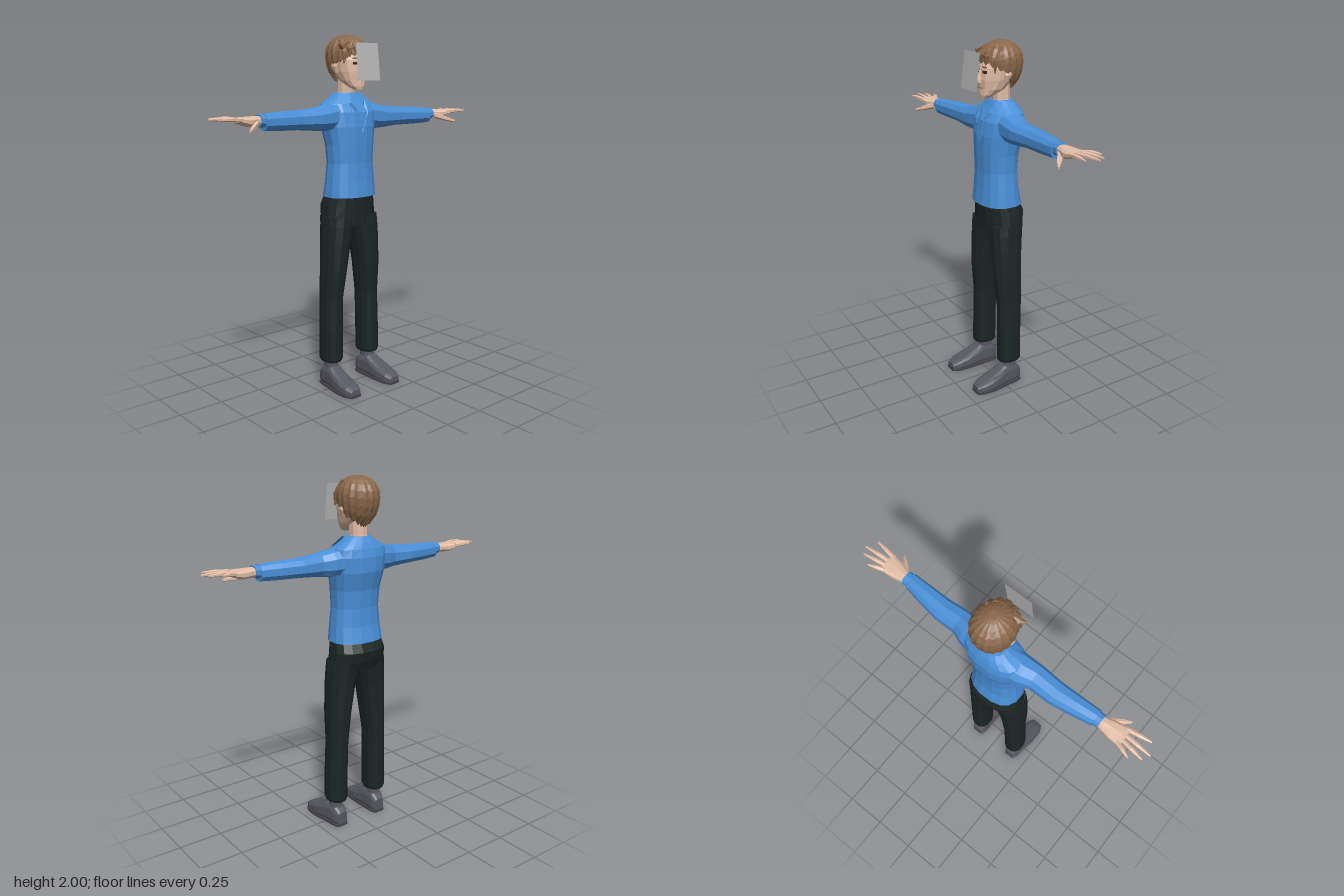
import * as THREE from 'three';

const mat = (name, color, side = THREE.FrontSide) => {
  const m = new THREE.MeshStandardMaterial({ color, side });
  m.name = name;
  return m;
};

// Flat-shaded skin over rings of points, closed at both ends
function skinRings(rings) {
  const pos = [];
  const tri = (a, b, c) => pos.push(...a, ...b, ...c);
  const n = rings[0].length;
  for (let i = 0; i < rings.length - 1; i++) {
    for (let j = 0; j < n; j++) {
      const k = (j + 1) % n, lo = rings[i], hi = rings[i + 1];
      tri(lo[j], hi[j], lo[k]);
      tri(lo[k], hi[j], hi[k]);
    }
  }
  const mid = (r) => [0, 1, 2].map((d) => r.reduce((s, p) => s + p[d], 0) / n);
  const first = rings[0], last = rings[rings.length - 1];
  for (let j = 0; j < n; j++) {
    const k = (j + 1) % n;
    tri(mid(first), first[j], first[k]);
    tri(mid(last), last[k], last[j]);
  }
  return fromPoints(pos);
}

function fromPoints(pos) {
  const g = new THREE.BufferGeometry();
  g.setAttribute('position', new THREE.Float32BufferAttribute(pos, 3));
  g.computeVertexNormals();
  return g;
}

// Sections are [position along axis, centre 1, centre 2, radius 1, radius 2];
// the pair is (x, z) on axis y, (z, y) on axis x and (y, x) on axis z
function loft(axis, sections, seg = 12, power = 2.4) {
  const round = (v) => Math.sign(v) * Math.abs(v) ** (2 / power);
  return skinRings(sections.map(([a, c1, c2, r1, r2]) =>
    Array.from({ length: seg }, (_, j) => {
      const t = ((j + 0.5) / seg) * Math.PI * 2;
      const u = c1 + r1 * round(Math.cos(t)), v = c2 + r2 * round(Math.sin(t));
      return axis === 'y' ? [u, a, v] : axis === 'x' ? [a, v, u] : [v, u, a];
    })));
}

// Reflected copy with the corner order turned back outward
function mirrored(geo) {
  const p = (geo.index ? geo.toNonIndexed() : geo).attributes.position, pos = [];
  for (let i = 0; i < p.count; i += 3) {
    for (const k of [i, i + 2, i + 1]) pos.push(-p.getX(k), p.getY(k), p.getZ(k));
  }
  return fromPoints(pos);
}

export function createModel() {
  const model = new THREE.Group();
  const shirt = mat('shirt blue', 0x4a90d9, THREE.DoubleSide);
  const trouser = mat('trouser black green', 0x1b2625);
  const skin = mat('skin', 0xe3bea7);
  const hair = mat('hair brown', 0x8a674a, THREE.DoubleSide);
  const shoe = mat('shoe grey', 0x585862);
  const sole = mat('sole dark grey', 0x42424a);
  const panel = mat('panel grey', 0xb8b8b8, THREE.DoubleSide);
  const dark = mat('eye dark brown', 0x3a281e);
  const lip = mat('lip', 0xb98470);

  const add = (name, geo, m) => {
    const mesh = new THREE.Mesh(geo, m);
    mesh.name = name;
    model.add(mesh);
    return mesh;
  };
  const pair = (name, geo, m) => {
    add(name + 'Left', geo, m);
    add(name + 'Right', mirrored(geo), m);
  };

  // Shirt body
  add('shirtBody', loft('y', [
    [1.11, 0, -0.04, 0.155, 0.12], [1.2, 0, -0.035, 0.147, 0.106],
    [1.3, 0, -0.035, 0.137, 0.101], [1.4, 0, -0.037, 0.143, 0.106],
    [1.5, 0, -0.05, 0.16, 0.118], [1.58, 0, -0.056, 0.17, 0.111],
    [1.625, 0, -0.065, 0.16, 0.09], [1.655, 0, -0.068, 0.11, 0.074],
    [1.685, 0, -0.066, 0.068, 0.056],
  ], 16), shirt);

  // Collar flaps and lapels
  pair('collarFlap', fromPoints([
    0.045, 1.675, 0, 0.05, 1.63, 0.04, 0.12, 1.625, 0.022,
    0.045, 1.675, 0, 0.12, 1.625, 0.022, 0.075, 1.685, -0.03,
  ]), shirt);
  pair('lapel', fromPoints([
    0.06, 1.655, 0.018, 0.025, 1.6, 0.056, 0, 1.46, 0.073,
    0.06, 1.655, 0.018, 0, 1.46, 0.073, 0.06, 1.58, 0.054,
  ]), shirt);

  // Sleeves with a narrower cuff
  pair('sleeve', loft('x', [
    [0.1, -0.055, 1.56, 0.085, 0.08], [0.18, -0.045, 1.552, 0.078, 0.073],
    [0.24, -0.032, 1.547, 0.066, 0.063], [0.36, -0.036, 1.546, 0.062, 0.053],
    [0.48, -0.026, 1.545, 0.053, 0.05], [0.59, -0.015, 1.544, 0.043, 0.044],
  ], 10), shirt);
  pair('cuff', loft('x', [
    [0.58, -0.016, 1.55, 0.038, 0.035], [0.62, -0.016, 1.553, 0.037, 0.032],
  ], 10), shirt);

  // Hands
  pair('palm', loft('x', [
    [0.6, -0.017, 1.552, 0.031, 0.026], [0.635, -0.017, 1.552, 0.036, 0.026],
    [0.69, -0.014, 1.55, 0.05, 0.026], [0.755, -0.015, 1.56, 0.055, 0.014],
  ], 10), skin);
  pair('thumb', loft('x', [
    [0.635, 0.005, 1.543, 0.018, 0.018], [0.69, 0.05, 1.522, 0.018, 0.015],
    [0.735, 0.088, 1.507, 0.006, 0.006],
  ], 6), skin);
  const fingers = [[-0.056, 0.82, -0.088], [-0.03, 0.878, -0.054], [-0.002, 0.9, -0.015], [0.026, 0.867, 0.044]];
  fingers.forEach(([z0, tip, z1], i) => {
    const x0 = 0.735, mx = (x0 + tip) / 2;
    pair('finger' + (i + 1), loft('x', [
      [x0, z0, 1.561, 0.013, 0.012], [mx, (z0 + z1) / 2, 1.567, 0.012, 0.011],
      [tip, z1, 1.567, 0.005, 0.005],
    ], 6), skin);
  });

  // Trousers
  add('hips', loft('y', [
    [0.95, 0, -0.042, 0.172, 0.098], [1.0, 0, -0.052, 0.168, 0.109],
    [1.06, 0, -0.057, 0.162, 0.116], [1.13, 0, -0.04, 0.148, 0.1],
  ], 16), trouser);
  pair('trouserLeg', loft('y', [
    [0.155, 0.138, -0.04, 0.053, 0.066], [0.17, 0.138, -0.04, 0.059, 0.071],
    [0.35, 0.136, -0.041, 0.058, 0.071], [0.52, 0.132, -0.044, 0.054, 0.074],
    [0.7, 0.12, -0.037, 0.065, 0.085], [0.85, 0.105, -0.037, 0.076, 0.09],
    [0.95, 0.088, -0.041, 0.086, 0.097], [1.0, 0.085, -0.045, 0.083, 0.1],
  ], 12), trouser);

  // Shoes: [z, x, height, half width]
  const shoeShape = [
    [-0.105, 0.138, 0.085, 0.032], [-0.075, 0.138, 0.118, 0.043], [0, 0.142, 0.125, 0.047],
    [0.04, 0.145, 0.103, 0.052], [0.1, 0.148, 0.078, 0.055], [0.16, 0.149, 0.06, 0.05],
    [0.195, 0.149, 0.042, 0.032],
  ];
  pair('shoe', loft('z', shoeShape.map(([z, x, h, w]) => [z, h / 2 + 0.003, x, h / 2, w]), 12, 3.5), shoe);
  pair('sole', loft('z', shoeShape.map(([z, x, h, w]) => [z * 1.01, 0.008, x, 0.008, w + 0.004]), 8, 5), sole);
  pair('ankle', loft('y', [
    [0.1, 0.14, -0.04, 0.037, 0.045], [0.2, 0.14, -0.04, 0.034, 0.038],
  ], 10), shoe);

  // Neck, head and face
  add('neck', loft('y', [
    [1.64, 0, -0.07, 0.054, 0.052], [1.69, 0, -0.066, 0.047, 0.048], [1.79, 0, -0.06, 0.047, 0.05],
  ], 10), skin);
  add('head', loft('y', [
    [1.703, 0, 0.038, 0.026, 0.022], [1.72, 0, 0.022, 0.047, 0.041],
    [1.75, 0, -0.008, 0.068, 0.07], [1.8, 0, -0.033, 0.083, 0.1],
    [1.86, 0, -0.043, 0.09, 0.108], [1.93, 0, -0.052, 0.08, 0.1],
  ], 14, 2.3), skin);
  add('nose', loft('y', [
    [1.785, 0, 0.066, 0.014, 0.018], [1.797, 0, 0.066, 0.013, 0.021], [1.85, 0, 0.06, 0.006, 0.008],
  ], 6), skin);
  add('mouth', new THREE.BoxGeometry(0.04, 0.007, 0.008), lip).position.set(0, 1.757, 0.062);
  pair('eye', new THREE.BoxGeometry(0.028, 0.014, 0.009).translate(0.036, 1.842, 0.057), dark);
  pair('eyebrow', new THREE.BoxGeometry(0.036, 0.007, 0.009).translate(0.036, 1.868, 0.058), hair);
  pair('ear', loft('y', [
    [1.79, 0.086, -0.045, 0.008, 0.012], [1.825, 0.096, -0.05, 0.012, 0.022], [1.85, 0.094, -0.05, 0.01, 0.02],
  ], 8), skin);

  // Hair shell: ridged locks with a lower edge that falls from brow to nape
  const locks = 36, rows = 8, rings = [];
  for (let i = -1; i <= rows; i++) {
    const ring = [];
    for (let j = 0; j < locks; j++) {
      const a = (j / locks) * Math.PI * 2, front = Math.sin(a);
      const edge = (front > 0 ? 1.815 + 0.085 * front ** 0.7 : 1.815 + 0.065 * front) - (j % 2) * 0.018;
      const t = Math.max(i, 0) / rows;
      const y = edge + (1.997 - edge) * Math.sin((t * Math.PI) / 2);
      const k = (y - 1.895) / (y > 1.895 ? 0.104 : 0.175);
      let r = Math.sqrt(Math.max(0.004, 1 - k * k)) * (j % 2 ? 1.01 : 0.96);
      if (i < 0) r *= 0.84;
      ring.push([Math.cos(a) * r * 0.113, y, -0.063 + front * r * 0.126]);
    }
    rings.push(ring);
  }
  add('hairShell', skinRings(rings), hair);

  // Fringe locks swept across the brow: [root x, tip x, tip y]
  const fringe = [[-0.07, -0.088, 1.84], [-0.05, -0.062, 1.875], [-0.02, -0.035, 1.885],
    [0.012, 0.002, 1.89], [0.042, 0.042, 1.88], [0.068, 0.086, 1.84]];
  fringe.forEach(([x0, x1, y], i) => {
    const bulge = 0.066 - 5 * x1 * x1;
    add('fringeLock' + (i + 1), loft('y', [
      [y, x1, bulge - 0.004, 0.003, 0.003], [(y + 1.97) / 2, (x0 + x1) / 2, bulge - 0.01, 0.02, 0.014],
      [1.972, x0 * 0.85, bulge - 0.055, 0.022, 0.014],
    ], 6), hair);
  });
  add('sideTuft', loft('x', [
    [-0.122, 0.02, 1.945, 0.003, 0.003], [-0.095, 0.012, 1.93, 0.018, 0.018], [-0.05, 0, 1.95, 0.03, 0.022],
  ], 6), hair);

  // Floating panel before the face
  const plate = add('facePanel', new THREE.PlaneGeometry(0.156, 0.2), panel);
  plate.position.set(-0.002, 1.85, 0.122);
  plate.rotation.x = -0.12;

  return model;
}
